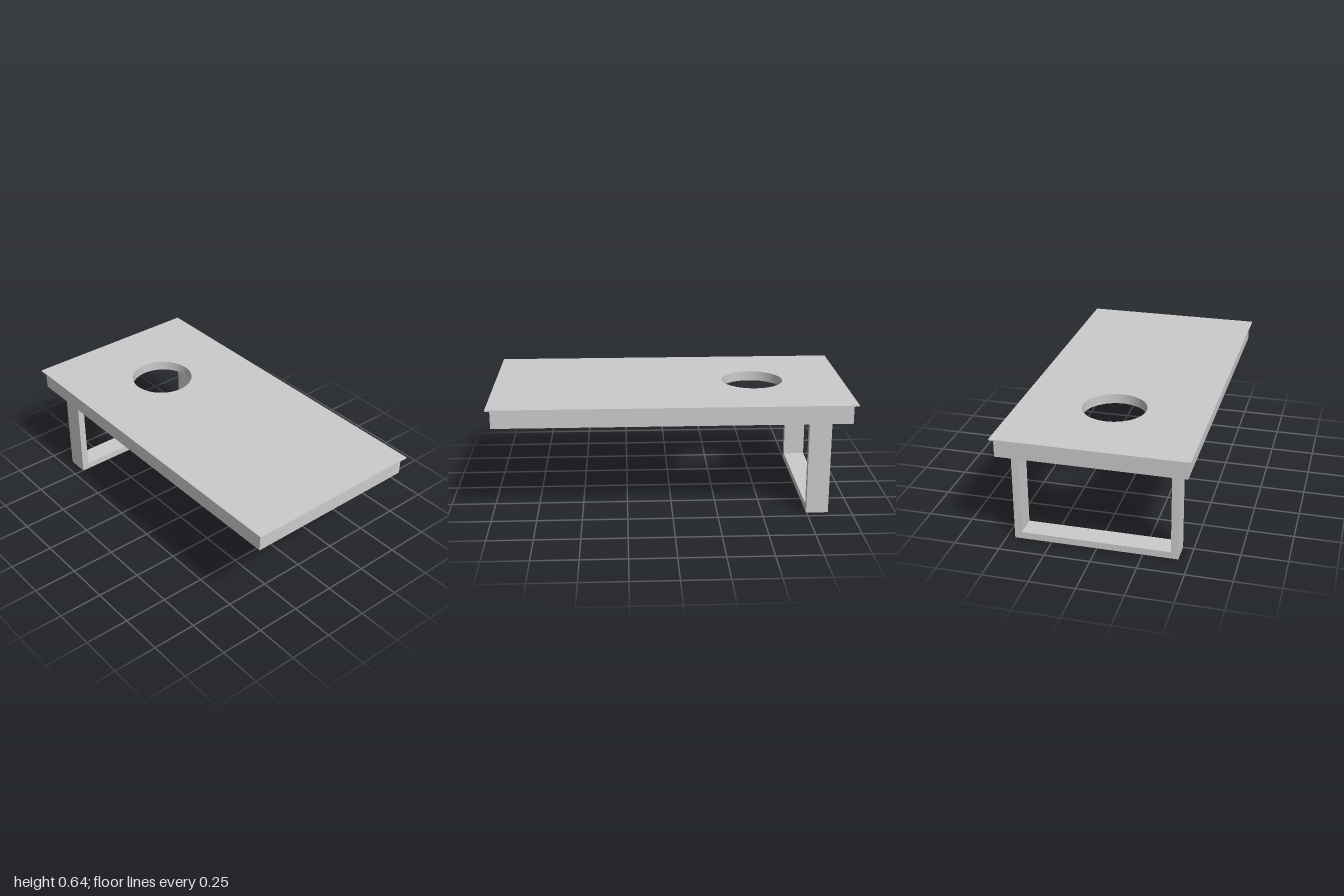
import * as THREE from 'three';

const material = new THREE.MeshStandardMaterial({ color: 0xcccccc, flatShading: true });

// Horizontal rectangular slab between two heights, with an optional hole path
function slab(name, halfX, halfZ, y0, y1, hole) {
  const shape = new THREE.Shape([
    new THREE.Vector2(-halfX, -halfZ), new THREE.Vector2(halfX, -halfZ),
    new THREE.Vector2(halfX, halfZ), new THREE.Vector2(-halfX, halfZ),
  ]);
  shape.holes.push(hole);
  const geometry = new THREE.ExtrudeGeometry(shape, { depth: y1 - y0, bevelEnabled: false, curveSegments: 48 });
  geometry.rotateX(-Math.PI / 2).translate(0, y0, 0);
  const mesh = new THREE.Mesh(geometry, material);
  mesh.name = name;
  return mesh;
}

// Box given by its extents on each axis
function box(name, [x0, x1], [y0, y1], [z0, z1]) {
  const mesh = new THREE.Mesh(new THREE.BoxGeometry(x1 - x0, y1 - y0, z1 - z0), material);
  mesh.position.set((x0 + x1) / 2, (y0 + y1) / 2, (z0 + z1) / 2);
  mesh.name = name;
  return mesh;
}

export function createModel() {
  const model = new THREE.Group();
  model.name = 'board';

  // Round opening shared by the top sheet and the panel under it
  const opening = new THREE.Path().absarc(-0.48, 0, 0.175, 0, Math.PI * 2, true);

  // Thin overhanging top sheet and the recessed panel
  model.add(slab('topSheet', 1, 0.52, 0.639, 0.645, opening));
  model.add(slab('panel', 0.92, 0.445, 0.59, 0.639, opening));

  // Rim frame around the underside
  const inner = new THREE.Path([
    new THREE.Vector2(-0.913, -0.44), new THREE.Vector2(-0.913, 0.44),
    new THREE.Vector2(0.913, 0.44), new THREE.Vector2(0.913, -0.44),
    new THREE.Vector2(-0.913, -0.44),
  ]);
  const rim = slab('rimFrame', 0.975, 0.503, 0.537, 0.639, inner);
  model.add(rim);

  // U-shaped leg frame at one end, reaching up to the panel
  const legFrame = new THREE.Group();
  legFrame.name = 'legFrame';
  const legX = [-0.87, -0.747];
  legFrame.add(
    box('frontLeg', legX, [0.038, 0.59], [0.401, 0.441]),
    box('backLeg', legX, [0.038, 0.59], [-0.455, -0.416]),
    box('footBar', legX, [0, 0.038], [-0.455, 0.441]),
  );
  model.add(legFrame);

  return model;
}
